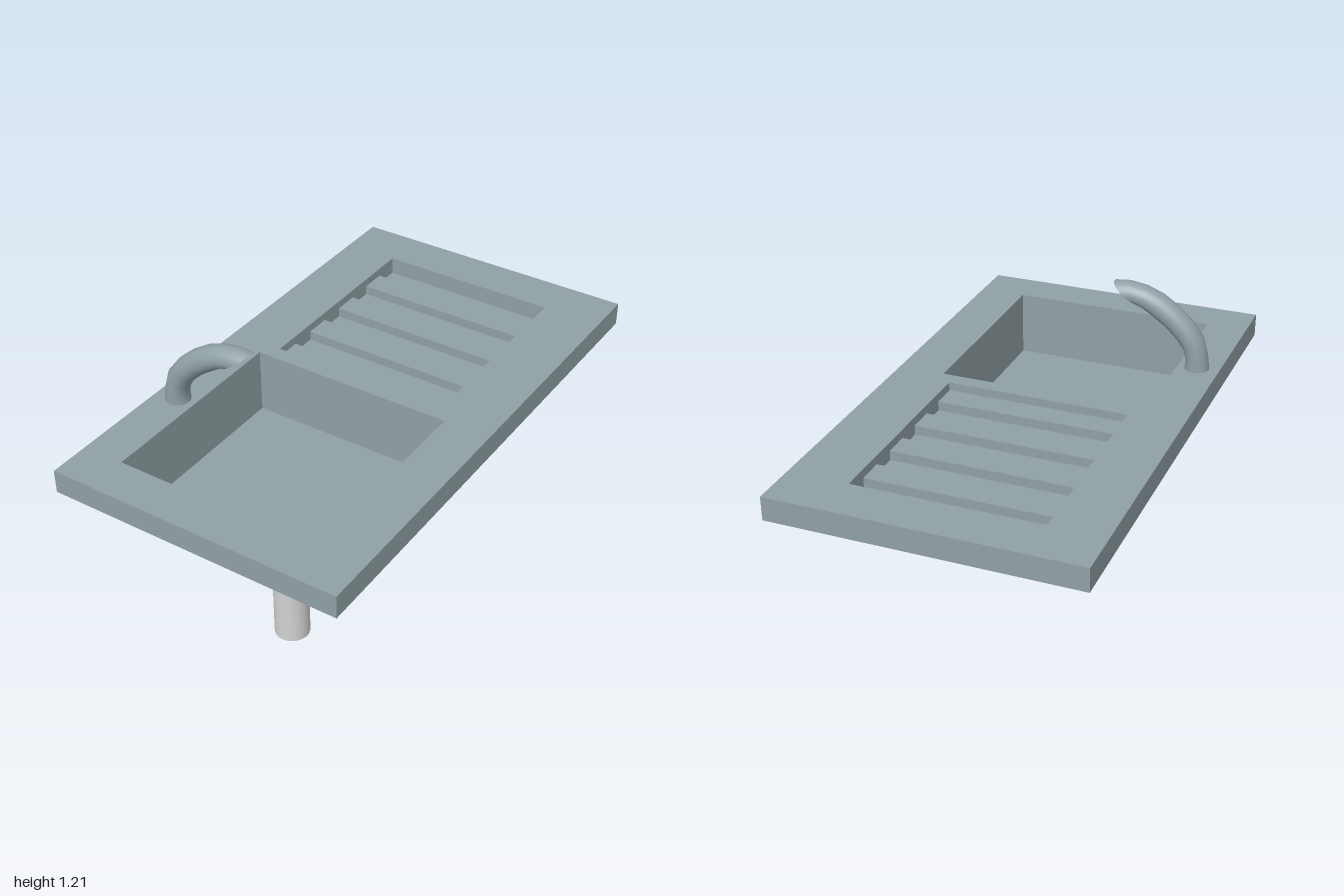
import * as THREE from 'three';

const steel = new THREE.MeshStandardMaterial({ color: 0x90a0a5, side: THREE.DoubleSide });
steel.name = 'brushed steel';
const plastic = new THREE.MeshStandardMaterial({ color: 0xd2d2d2 });
plastic.name = 'pale pipe';

const TOP = 0.893, UNDER = 0.803, FLOOR = 0.637;

function add(parent, name, geometry, material = steel) {
  const mesh = new THREE.Mesh(geometry, material);
  mesh.name = name;
  parent.add(mesh);
  return mesh;
}

// Thin sheets facing along each axis
function sheetY(x0, x1, z0, z1, y) {
  return new THREE.PlaneGeometry(x1 - x0, z1 - z0).rotateX(-Math.PI / 2)
    .translate((x0 + x1) / 2, y, (z0 + z1) / 2);
}
function sheetZ(x0, x1, y0, y1, z) {
  return new THREE.PlaneGeometry(x1 - x0, y1 - y0).translate((x0 + x1) / 2, (y0 + y1) / 2, z);
}
function sheetX(z0, z1, y0, y1, x) {
  return new THREE.PlaneGeometry(z1 - z0, y1 - y0).rotateY(Math.PI / 2)
    .translate(x, (y0 + y1) / 2, (z0 + z1) / 2);
}

// Four upright sheets around a rectangle
function walls(parent, name, x0, x1, z0, z1, y0, y1) {
  for (const x of [x0, x1]) add(parent, name, sheetX(z0, z1, y0, y1, x));
  for (const z of [z0, z1]) add(parent, name, sheetZ(x0, x1, y0, y1, z));
}

function rectangle(PathType, x0, x1, z0, z1) {
  return new PathType([[x0, -z0], [x1, -z0], [x1, -z1], [x0, -z1]]
    .map(p => new THREE.Vector2(...p)));
}

function makeDrainboard() {
  const group = new THREE.Group();
  group.name = 'drainboard';
  const x0 = -0.36, x1 = 0.34, start = -0.82, step = 0.1, count = 8;
  const deep = TOP - 0.068, shallow = TOP - 0.032;
  const side = [new THREE.Vector2(start, TOP)];
  let last = TOP;
  for (let i = 0; i < count; i++) {
    const y = i % 2 ? shallow : deep, z = start + i * step;
    add(group, 'drainboardStep', sheetZ(x0, x1, Math.min(y, last), Math.max(y, last), z));
    add(group, i % 2 ? 'drainboardRib' : 'drainboardGroove', sheetY(x0, x1, z, z + step, y));
    side.push(new THREE.Vector2(z, y), new THREE.Vector2(z + step, y));
    last = y;
  }
  const end = start + count * step;
  add(group, 'drainboardEnd', sheetZ(x0, x1, last, TOP, end));
  side.push(new THREE.Vector2(end, TOP));
  // Stepped side walls follow the ribs
  for (const x of [x0, x1]) {
    add(group, 'drainboardSide',
      new THREE.ShapeGeometry(new THREE.Shape(side)).rotateY(-Math.PI / 2).translate(x, 0, 0));
  }
  return group;
}

function makeFaucet() {
  const group = new THREE.Group();
  group.name = 'faucet';
  // Matching outer and inner points of the bent spout: x, y, x, y
  const sections = [
    [-0.53, 0.893, -0.435, 0.893], [-0.522, 0.95, -0.44, 0.922],
    [-0.502, 1.02, -0.43, 0.962], [-0.456, 1.08, -0.402, 1.003],
    [-0.4, 1.13, -0.358, 1.045], [-0.335, 1.172, -0.31, 1.078],
    [-0.268, 1.197, -0.28, 1.098], [-0.2, 1.206, -0.265, 1.109],
    [-0.145, 1.2, -0.25, 1.118],
  ];
  const sides = 24, radius = 0.048, z = 0.438;
  const ring = ([ox, oy, ix, iy]) => {
    const points = [];
    for (let j = 0; j < sides; j++) {
      const a = j / sides * Math.PI * 2, t = (1 - Math.cos(a)) / 2;
      points.push(ox + (ix - ox) * t, oy + (iy - oy) * t, z + Math.sin(a) * radius);
    }
    return points;
  };
  const index = [];
  for (let i = 0; i < sections.length - 1; i++) {
    for (let j = 0; j < sides; j++) {
      const a = i * sides + j, b = i * sides + (j + 1) % sides;
      index.push(a, b, a + sides, b, b + sides, a + sides);
    }
  }
  const spout = new THREE.BufferGeometry();
  spout.setAttribute('position', new THREE.Float32BufferAttribute(sections.flatMap(ring), 3));
  spout.setIndex(index);
  spout.computeVertexNormals();
  add(group, 'spout', spout);

  // Slanted outlet face
  const outlet = new THREE.BufferGeometry();
  const fan = [];
  for (let j = 1; j < sides - 1; j++) fan.push(0, j, j + 1);
  outlet.setAttribute('position',
    new THREE.Float32BufferAttribute(ring(sections[sections.length - 1]), 3));
  outlet.setIndex(fan);
  outlet.computeVertexNormals();
  add(group, 'spoutOutlet', outlet);
  return group;
}

export function createModel() {
  const model = new THREE.Group();
  model.name = 'kitchenSink';

  // Worktop sheet with two openings, and its hanging skirt
  const top = rectangle(THREE.Shape, -0.57, 0.57, -1, 1);
  top.holes.push(rectangle(THREE.Path, -0.41, 0.39, 0.04, 0.84),
    rectangle(THREE.Path, -0.36, 0.34, -0.82, -0.02));
  add(model, 'worktop', new THREE.ShapeGeometry(top).rotateX(-Math.PI / 2).translate(0, TOP, 0));
  walls(model, 'skirt', -0.57, 0.57, -1, 1, UNDER, TOP);

  // Small braces behind the rear skirt
  for (const x of [-0.39, 0.4]) add(model, 'brace', sheetX(-1, -0.89, UNDER, TOP, x));

  // Basin
  const basin = new THREE.Group();
  basin.name = 'basin';
  walls(basin, 'basinWall', -0.41, 0.39, 0.04, 0.84, FLOOR, TOP);
  add(basin, 'basinFloor', sheetY(-0.41, 0.39, 0.04, 0.84, FLOOR));
  model.add(basin);

  model.add(makeDrainboard(), makeFaucet());

  // Drain pipe
  add(model, 'drainPipe',
    new THREE.CylinderGeometry(0.068, 0.068, 0.633, 32).translate(-0.01, 0.3165, 0.44), plastic);
  return model;
}
